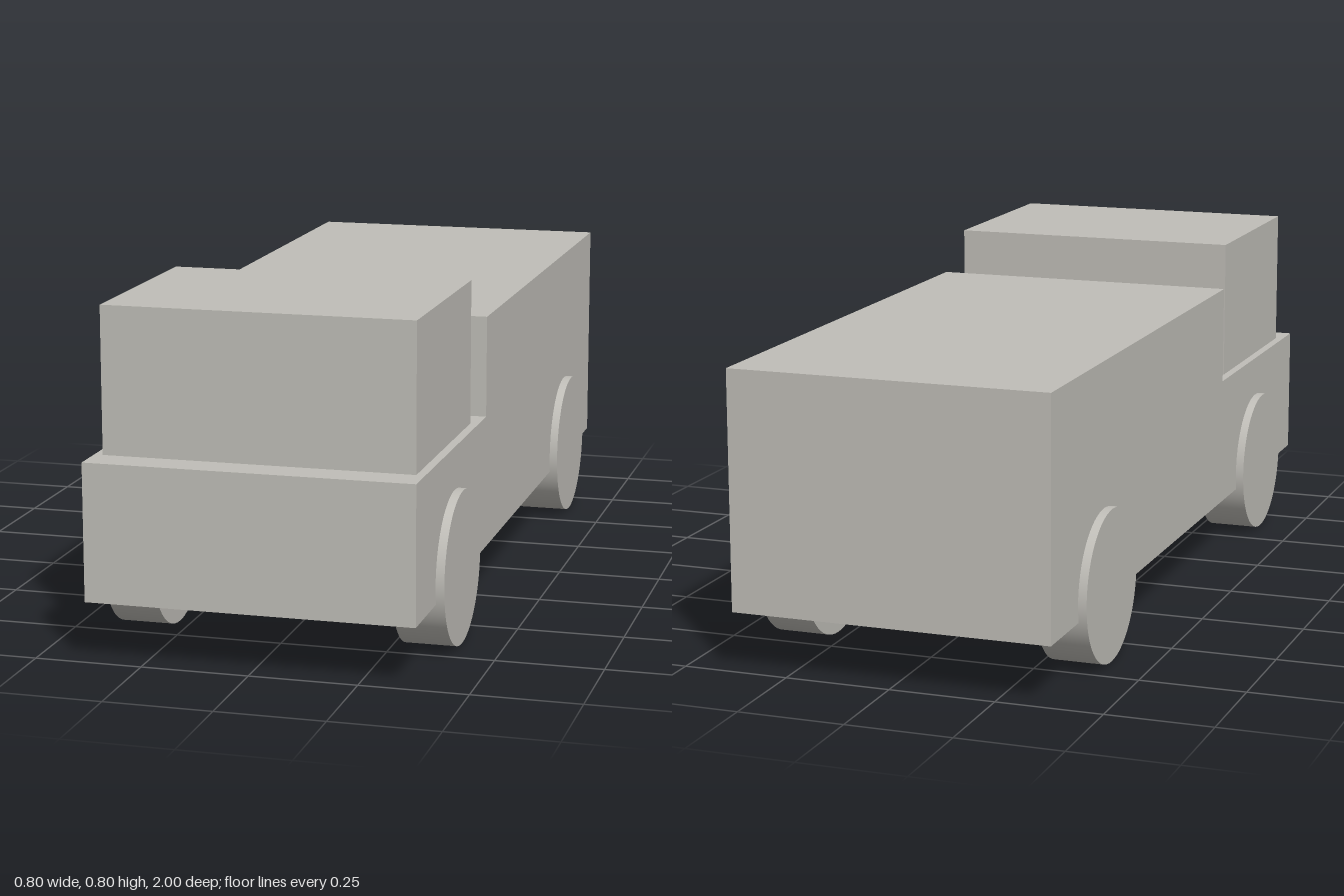
import * as THREE from 'three';

export function createModel() {
  const model = new THREE.Group();
  model.name = 'truck';
  const grey = new THREE.MeshStandardMaterial({ color: 0xc0beb8 });
  grey.name = 'warm grey';

  const add = (name, geometry, x, y, z) => {
    const mesh = new THREE.Mesh(geometry, grey);
    mesh.name = name;
    mesh.position.set(x, y, z);
    model.add(mesh);
  };

  // Body: stepped side profile (z, y) with a low front deck and tall rear box
  const width = 0.76;
  const profile = new THREE.Shape([
    [-1, 0.14], [1, 0.14], [1, 0.46], [0.32, 0.46], [0.32, 0.7], [-1, 0.7],
  ].map(([z, y]) => new THREE.Vector2(z, y)));
  const body = new THREE.ExtrudeGeometry(profile, { depth: width, bevelEnabled: false });
  body.translate(0, 0, -width / 2).rotateY(-Math.PI / 2);
  add('body', body, 0, 0, 0);

  // Cab on the front deck
  add('cab', new THREE.BoxGeometry(0.72, 0.34, 0.52), 0, 0.63, 0.66);

  // Four wheels, slightly proud of the body sides
  const wheel = new THREE.CylinderGeometry(0.18, 0.18, 0.12, 64).rotateZ(Math.PI / 2);
  for (const [end, z] of [['front', 0.64], ['rear', -0.64]]) {
    for (const [side, x] of [['Left', 0.34], ['Right', -0.34]]) {
      add(`${end}${side}Wheel`, wheel, x, 0.18, z);
    }
  }

  return model;
}
